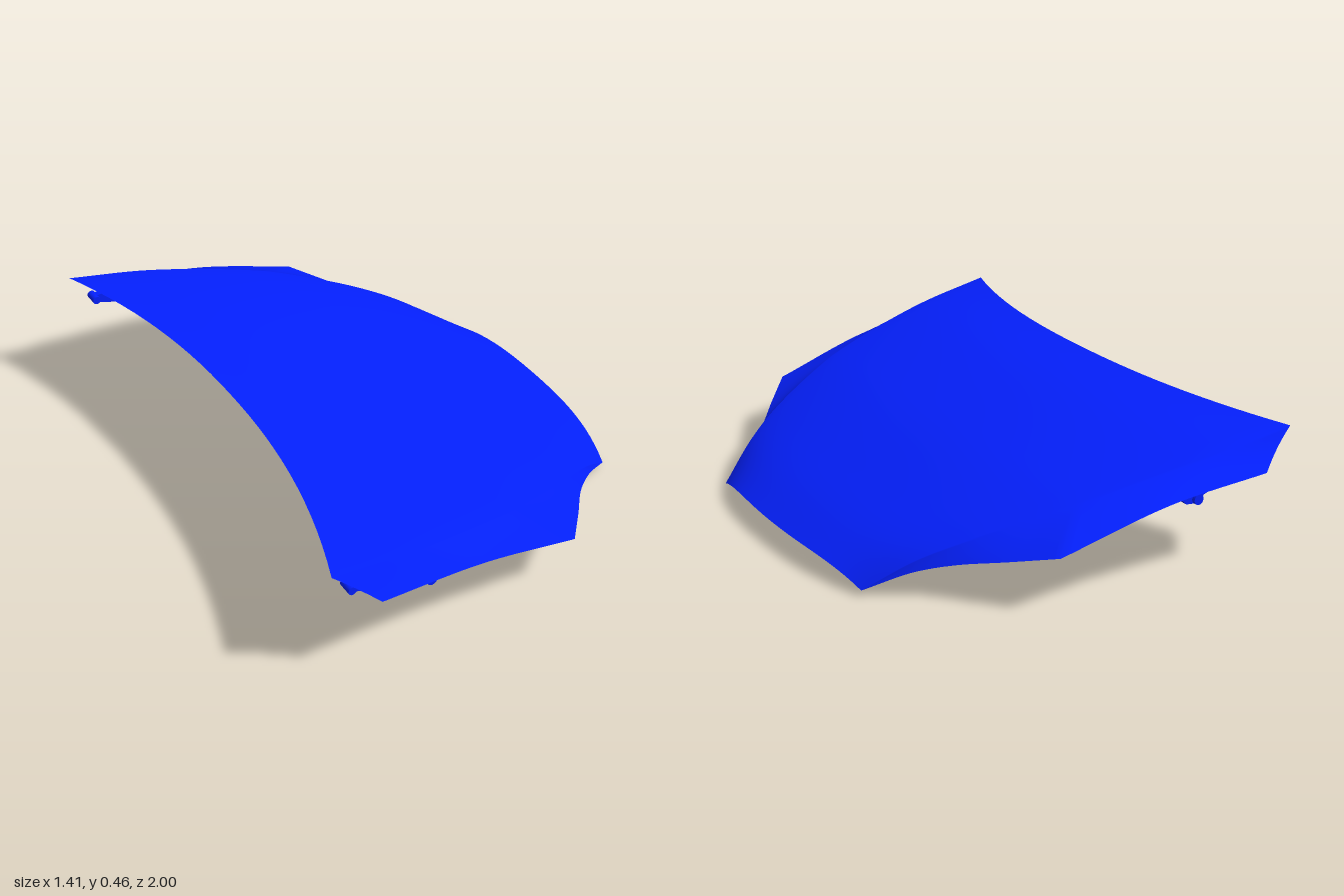
import * as THREE from 'three';

const V = (x, y, z = 0) => new THREE.Vector3(x, y, z);
const curve = (pts) => new THREE.CatmullRomCurve3(pts.map((p) => V(...p)));
const lerp = THREE.MathUtils.lerp;
const smooth = THREE.MathUtils.smoothstep;

// Guide lines from rear to nose: centre line, shoulder crease, outer edge
const centre = curve([[-0.55, 0.465], [-0.3, 0.425], [0.02, 0.344], [0.17, 0.298], [0.4, 0.212], [0.56, 0.147], [0.705, 0.072]]);
const crease = curve([[-0.71, 0.45, 0.94], [-0.4, 0.398, 0.91], [-0.04, 0.32, 0.83], [0.12, 0.276, 0.775],
  [0.35, 0.195, 0.675], [0.5, 0.125, 0.59], [0.648, 0.02, 0.5]]);
// The outer edge has a sharp corner where the flank meets the headlamp cut-out
const flankEdge = curve([[-0.57, 0.335, 1], [-0.2, 0.3, 0.98], [0.19, 0.198, 0.943]]);
const lampEdge = curve([[0.19, 0.198, 0.943], [0.305, 0.16, 0.81], [0.41, 0.125, 0.685], [0.51, 0.09, 0.597], [0.648, 0.02, 0.5]]);
const corner = 0.4;
const edgePoint = (u) => (u <= corner ? flankEdge.getPoint(u / corner) : lampEdge.getPoint((u - corner) / (1 - corner)));

// Arched cross-line from a centre point c (t = 0) out to a side point k (t = 1)
const arch = (c, k, t, u) => V(lerp(c.x, k.x, t ** 2.2), lerp(c.y, k.y, t ** lerp(2, 4, u)), k.z * t);

// Point on the bonnet: u runs rear to nose, v runs centre (0), crease (1), edge (2)
function skinPoint(u, v) {
  const k = crease.getPoint(u);
  if (v <= 1) return arch(centre.getPoint(u), k, v, u);
  const p = k.lerp(edgePoint(u), v - 1);
  p.z -= 0.007 * Math.sin(Math.PI * (v - 1)) * (1 - u); // slightly hollow flank
  return p;
}

// Inner panel spans flatter from edge to edge, below the skin
function panelPoint(s, t) {
  const u = lerp(0.03, 0.95, s);
  const c = centre.getPoint(u);
  c.y -= 0.01 + 0.07 * smooth(s, 0, 0.22) * (1 - smooth(s, 0.84, 1));
  const p = arch(c, edgePoint(u), t * 0.985, u);
  p.y -= 0.004;
  return p;
}

// Grid surface from a rule, mirrored across z
function sheet(rows, cols, vMax, rule) {
  const pos = [];
  const index = [];
  const w = cols * 2 + 1;
  for (let i = 0; i <= rows; i++) {
    for (let j = -cols; j <= cols; j++) {
      const p = rule(i / rows, (Math.abs(j) / cols) * vMax);
      pos.push(p.x, p.y, p.z * Math.sign(j));
    }
  }
  for (let i = 0; i < rows; i++) {
    for (let j = 0; j < w - 1; j++) {
      const a = i * w + j;
      index.push(a, a + 1, a + w, a + 1, a + w + 1, a + w);
    }
  }
  const g = new THREE.BufferGeometry();
  g.setAttribute('position', new THREE.Float32BufferAttribute(pos, 3));
  g.setIndex(index);
  g.computeVertexNormals();
  return g;
}

export function createModel() {
  const model = new THREE.Group();
  const blue = new THREE.MeshStandardMaterial({ color: 0x0420ff });
  const blueSheet = new THREE.MeshStandardMaterial({ color: 0x0420ff, side: THREE.DoubleSide });
  const grey = new THREE.MeshStandardMaterial({ color: 0xb8b6b0 });
  const add = (name, geometry, material, parent = model) => {
    const mesh = new THREE.Mesh(geometry, material);
    mesh.name = name;
    parent.add(mesh);
    return mesh;
  };

  add('bonnetSkin', sheet(50, 28, 2, skinPoint), blueSheet);
  add('innerPanel', sheet(50, 24, 1, panelPoint), blueSheet);

  // Sealing strip looped around the underside
  const half = [[-0.205, 0.284, 0.3], [-0.205, 0.284, 0.6], [-0.175, 0.278, 0.675], [-0.1, 0.264, 0.7], [0, 0.246, 0.68],
    [0.1, 0.223, 0.615], [0.25, 0.177, 0.515], [0.37, 0.134, 0.43], [0.415, 0.112, 0.375], [0.425, 0.1, 0.3]];
  const mirrored = half.map(([x, y, z]) => [x, y, -z]).reverse();
  const loop = new THREE.CatmullRomCurve3([...half, ...mirrored].map((p) => V(...p)), true);
  add('sealStrip', new THREE.TubeGeometry(loop, 160, 0.019, 10, true), grey);

  // Wire latch striker under the nose
  const wire = new THREE.CurvePath();
  const bend = [V(0.5, 0.12), V(0.468, 0.018), V(0.503, 0.005), V(0.535, 0.11)];
  for (let i = 0; i < 3; i++) wire.add(new THREE.LineCurve3(bend[i], bend[i + 1]));
  add('latchStriker', new THREE.TubeGeometry(wire, 60, 0.005, 8), grey);

  // Hinges under the rear corners
  const outline = [[-0.64, 0.37], [-0.59, 0.375], [-0.4, 0.345], [-0.24, 0.295], [-0.23, 0.28], [-0.29, 0.275],
    [-0.31, 0.255], [-0.36, 0.25], [-0.38, 0.275], [-0.45, 0.3], [-0.51, 0.295], [-0.56, 0.32], [-0.64, 0.345]];
  const plate = new THREE.Shape(outline.map(([x, y]) => new THREE.Vector2(x, y)));
  for (const side of [-1, 1]) {
    const hinge = new THREE.Group();
    hinge.name = side > 0 ? 'hingeFrontSide' : 'hingeBackSide';
    hinge.position.z = side * 0.91;
    add('hingeArm', new THREE.ExtrudeGeometry(plate, { depth: 0.024, bevelEnabled: false }), blue, hinge).position.z = -0.012;
    for (const [x, y, r] of [[-0.635, 0.358, 0.015], [-0.5, 0.31, 0.016], [-0.35, 0.267, 0.018]]) {
      const pin = add('hingePin', new THREE.CylinderGeometry(r, r, 0.05, 16), blue, hinge);
      pin.rotation.x = Math.PI / 2;
      pin.position.set(x, y, 0);
    }
    model.add(hinge);
  }
  return model;
}
